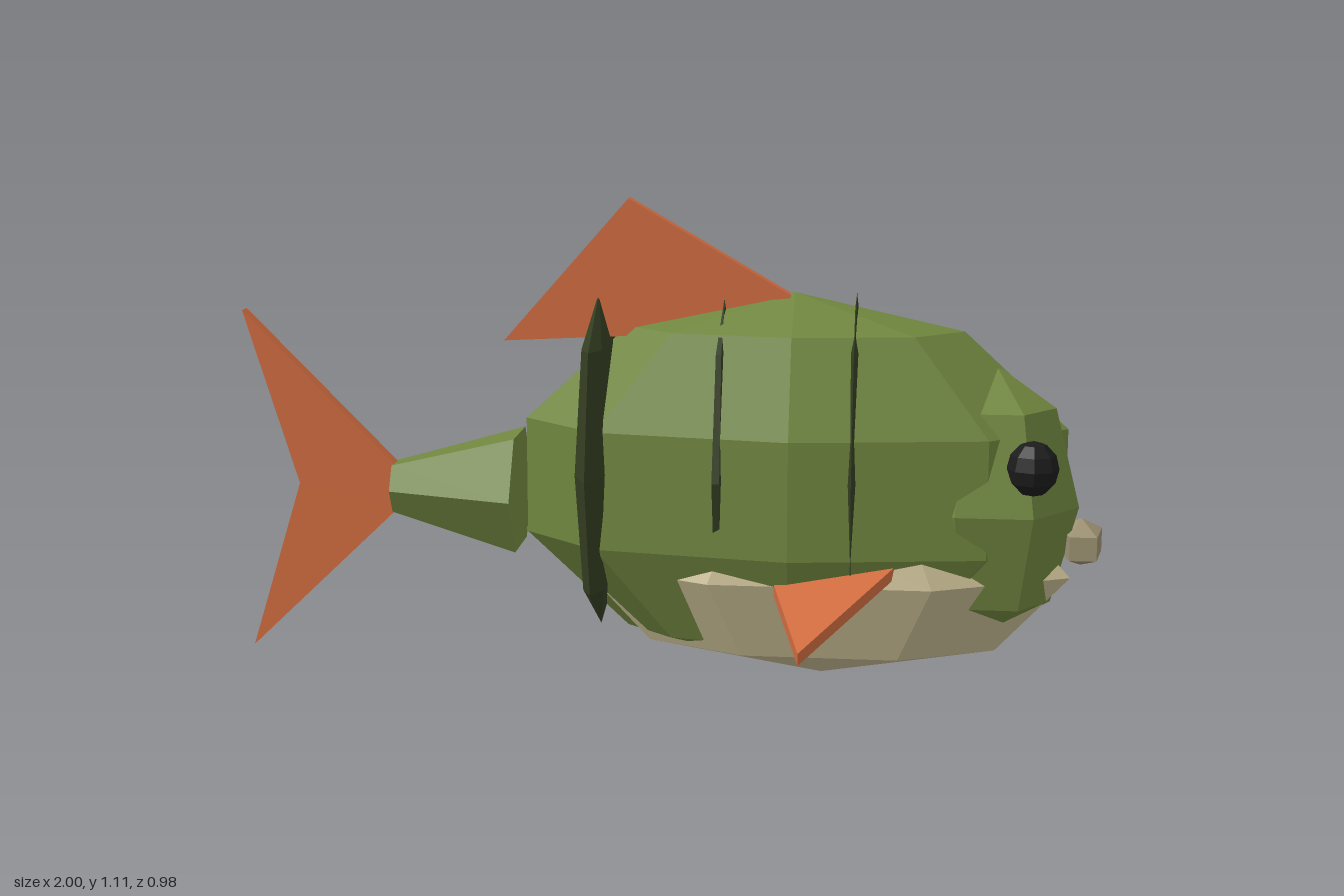
import * as THREE from 'three';

const paint = (name, color) => {
  const m = new THREE.MeshStandardMaterial({ color });
  m.name = name;
  return m;
};

// Bake one normal per facet for the low-poly look
function faceted(geo) {
  const g = geo.index ? geo.toNonIndexed() : geo;
  g.computeVertexNormals();
  return g;
}

// Low-poly ellipsoid, poles along y, with one corner pointing to -z
function ball(center, radii, sides, rings) {
  const g = new THREE.SphereGeometry(1, sides, rings);
  g.rotateY(-Math.PI / 2).scale(...radii).translate(...center);
  return faceted(g);
}

// Flat upright fin from an outline in the xy plane
function plate(points, thickness) {
  const shape = new THREE.Shape(points.map(p => new THREE.Vector2(...p)));
  const g = new THREE.ExtrudeGeometry(shape, { depth: thickness, bevelEnabled: false });
  g.translate(0, 0, -thickness / 2);
  return faceted(g);
}

// Triangular slab: top corners counter-clockwise from above, thickened downward
function slab(top, thickness) {
  const low = top.map(([x, y, z]) => [x, y - thickness, z]);
  const pos = [...top, low[0], low[2], low[1]];
  for (let i = 0; i < 3; i++) {
    const j = (i + 1) % 3;
    pos.push(top[i], low[i], low[j], top[i], low[j], top[j]);
  }
  const g = new THREE.BufferGeometry();
  g.setAttribute('position', new THREE.Float32BufferAttribute(pos.flat(), 3));
  return faceted(g);
}

export function createModel() {
  const group = new THREE.Group();
  group.name = 'fish';
  const green = paint('scale green', 0x70863f);
  const dark = paint('stripe green', 0x343e22);
  const cream = paint('belly cream', 0xc4b890);
  const orange = paint('fin orange', 0xd06c40);
  const lip = paint('lip taupe', 0x9c9072);
  const black = paint('eye black', 0x1c1c1c);

  const add = (name, geo, mat) => {
    const mesh = new THREE.Mesh(geo, mat);
    mesh.name = name;
    group.add(mesh);
  };

  // Body, belly and head overlap
  add('body', ball([0.29, 0.46, 0], [0.655, 0.44, 0.24], 8, 5), green);
  add('belly', ball([0.36, 0.26, 0], [0.58, 0.256, 0.22], 7, 4), cream);
  add('head', ball([0.745, 0.425, 0], [0.2, 0.318, 0.2], 7, 4), green);
  add('mouth', ball([0.95, 0.335, 0], [0.06, 0.055, 0.11], 5, 3), lip);

  // Lens-shaped stripes ringing the body
  const stripes = [[-0.16, 0.046, 0.395, 8], [0.13, 0.02, 0.395, 7], [0.43, 0.018, 0.4, 8]];
  for (const [x, half, height, sides] of stripes) {
    add('stripe', ball([x, 0.5, 0], [half, height, 0.257], sides, 4), dark);
  }

  // Tail stalk
  const stalk = new THREE.CylinderGeometry(0.064, 0.155, 0.3, 6);
  stalk.rotateZ(Math.PI / 2).translate(-0.5, 0.425, 0);
  add('tailStalk', faceted(stalk), green);

  // Upright fins
  add('tailFin', plate([[-1, 0.84], [-0.875, 0.43], [-1, 0.03], [-0.645, 0.37], [-0.645, 0.48]], 0.038), orange);
  add('dorsalFin', plate([[-0.38, 0.78], [-0.1, 0.795], [0.28, 0.8], [0.28, 0.895], [-0.09, 1.11]], 0.038), orange);

  // Paired fins and eyes
  for (const side of [1, -1]) {
    const name = side > 0 ? 'left' : 'right';
    const corners = [[0.53, 0.31, 0.18], [0.26, 0.265, 0.2], [0.33, 0.195, 0.49]]
      .map(([x, y, z]) => [x, y, z * side]);
    if (side < 0) corners.reverse();
    add(name + 'SideFin', slab(corners, 0.027), orange);
    add(name + 'Eye', ball([0.828, 0.535, 0.153 * side], [0.058, 0.063, 0.056], 8, 6), black);
  }
  return group;
}
